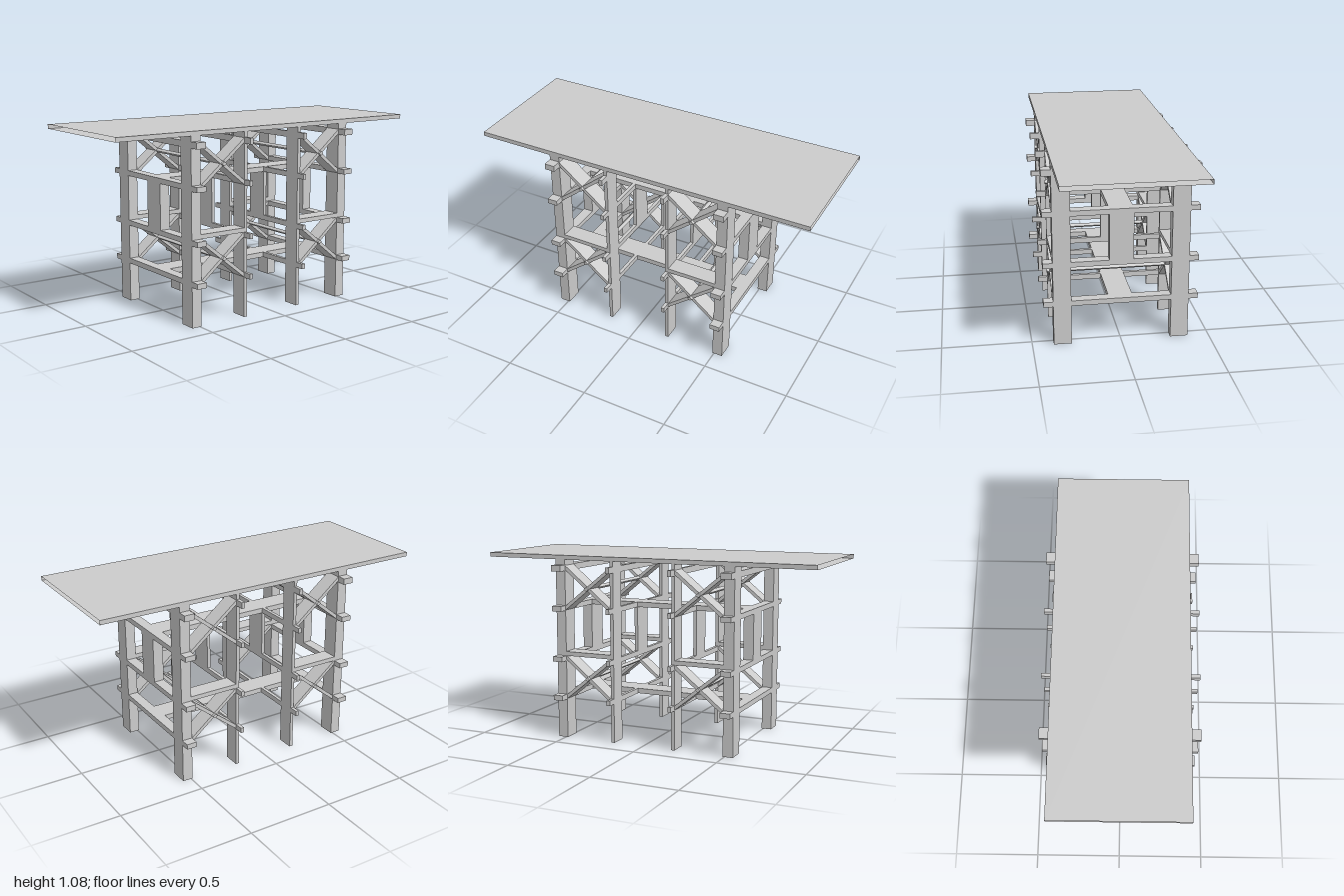
import * as THREE from 'three';

const POST_IN = 0.28, POST_OUT = 0.38, BAR_END = 0.433, MID = 0.0675;
const TOP = 1.05;
const BARS = [[0.23, 0.26], [0.46, 0.49], [0.755, 0.785], [0.985, 1.02]];

export function createModel() {
  const group = new THREE.Group();
  const material = new THREE.MeshStandardMaterial({ color: 0xcccccc, flatShading: true, side: THREE.DoubleSide });

  const add = (name, geometry) => {
    const mesh = new THREE.Mesh(geometry, material);
    mesh.name = name;
    group.add(mesh);
    return mesh;
  };
  // Box given by its lower and upper corners
  const box = (name, x0, x1, y0, y1, z0, z1) =>
    add(name, new THREE.BoxGeometry(x1 - x0, y1 - y0, z1 - z0))
      .position.set((x0 + x1) / 2, (y0 + y1) / 2, (z0 + z1) / 2);
  const toShape = (pts) => new THREE.Shape(pts.map(([x, y]) => new THREE.Vector2(x, y)));
  const rect = (x0, x1, y0, y1) => toShape([[x0, y0], [x0, y1], [x1, y1], [x1, y0]]);

  // Cross frame: two posts, four crossbars and a centre panel, cut as one piece
  const half = [[POST_IN, BARS[0][0]], [POST_IN, 0], [POST_OUT, 0]];
  for (const [a, b] of BARS) half.push([POST_OUT, a], [BAR_END, a], [BAR_END, b], [POST_OUT, b]);
  half.push([POST_OUT, TOP], [POST_IN, TOP], [POST_IN, 1.02], [MID, 1.02], [MID, TOP]);
  const frame = toShape([...half, ...half.map(([x, y]) => [-x, y]).reverse()]);
  frame.holes.push(
    rect(-POST_IN, POST_IN, 0.26, 0.46),
    rect(-POST_IN, -MID, 0.49, 0.755),
    rect(MID, POST_IN, 0.49, 0.755),
    rect(-POST_IN, POST_IN, 0.785, 0.985));
  for (const [name, z0, z1] of [
    ['frontFrame', 0.49, 0.55], ['frontInnerFrame', 0.18, 0.2],
    ['backInnerFrame', -0.2, -0.18], ['backFrame', -0.55, -0.49]]) {
    const geometry = new THREE.ExtrudeGeometry(frame, { depth: z1 - z0, bevelEnabled: false });
    add(name, geometry.translate(0, 0, z0));
  }

  // Profile in the z-y plane, extruded along x from x0 to x1
  const sideExtrude = (name, pts, x0, x1) => {
    const shape = toShape(pts.map(([z, y]) => [-z, y]));
    const geometry = new THREE.ExtrudeGeometry(shape, { depth: x1 - x0, bevelEnabled: false });
    add(name, geometry.rotateY(Math.PI / 2).translate(x0, 0, 0));
  };

  const H = 0.0125, DZ = 0.145, DY = 0.117;
  for (const end of [1, -1]) {
    const zc = end * 0.345;
    for (const yc of [0.8875, 0.3625]) {
      // Crossed braces between the outer and inner posts
      for (const x0 of [-POST_OUT, POST_IN])
        for (const s of [1, -1])
          sideExtrude('crossBrace', [
            [zc - DZ, yc - s * DY - H], [zc + DZ, yc + s * DY - H],
            [zc + DZ, yc + s * DY + H], [zc - DZ, yc - s * DY + H]], x0, x0 + 0.1);
      // Diamond rod through the brace crossings
      const W = H * DZ / DY;
      sideExtrude('crossRod', [[zc - W, yc], [zc, yc - H], [zc + W, yc], [zc, yc + H]], -0.395, 0.395);
    }
    // Short planks over the lower braces
    for (const x0 of [-POST_OUT, POST_IN])
      box('sidePlank', x0, x0 + 0.1, 0.49, 0.515, zc - DZ, zc + DZ);
  }

  // Long central planks joining the frames
  for (const [y0, y1] of [BARS[0], BARS[2]]) box('centrePlank', -MID, MID, y0, y1, -0.49, 0.49);

  // Deck: a sleeve of top, bottom and sides with open ends
  const deck = new THREE.BoxGeometry(2 * POST_OUT, 0.025, 2);
  deck.setIndex([...deck.index.array].slice(0, 24));
  deck.clearGroups();
  add('deck', deck).position.y = TOP + 0.0125;

  return group;
}
